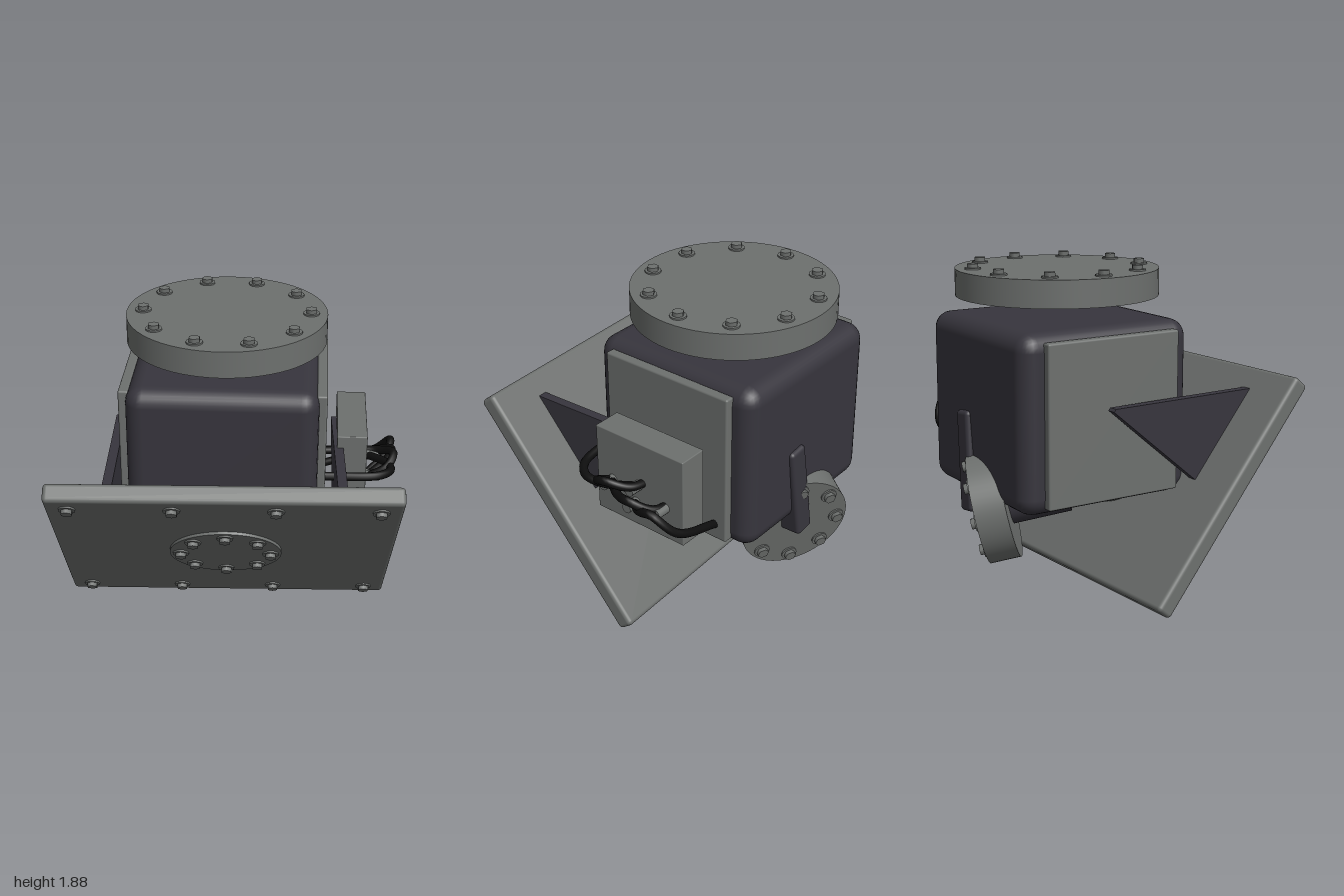
import * as THREE from 'three';
import { RoundedBoxGeometry } from 'three/addons/geometries/RoundedBoxGeometry.js';

const grey = new THREE.MeshStandardMaterial({ color: 0x6d706e });
grey.name = 'steel grey';
const dark = new THREE.MeshStandardMaterial({ color: 0x37353d });
dark.name = 'dark housing';
const black = new THREE.MeshStandardMaterial({ color: 0x0e0e0e });
black.name = 'cable black';

function add(parent, name, geometry, material, x = 0, y = 0, z = 0) {
  const mesh = new THREE.Mesh(geometry, material);
  mesh.name = name;
  mesh.position.set(x, y, z);
  parent.add(mesh);
  return mesh;
}

const box = (w, h, d, r) => new RoundedBoxGeometry(w, h, d, 3, r);

// Cylinder along z, spanning z0 to z1
function disc(r, z0, z1, sides = 64) {
  return new THREE.CylinderGeometry(r, r, z1 - z0, sides).rotateX(Math.PI / 2).translate(0, 0, (z0 + z1) / 2);
}

// Washer and hex head pointing along +z
const washerGeo = disc(0.047, -0.005, 0.009, 20);
const headGeo = disc(0.034, 0, 0.032, 6);
function bolt(parent, x, y, z) {
  const g = new THREE.Group();
  g.name = 'bolt';
  g.position.set(x, y, z);
  add(g, 'boltWasher', washerGeo, grey);
  add(g, 'boltHead', headGeo, grey);
  parent.add(g);
}

// Round flange with a ring of bolts on its +z face
function flange(name, r, z0, z1, count, ringRadius) {
  const g = new THREE.Group();
  g.name = name;
  add(g, name + 'Disc', disc(r, z0, z1), grey);
  for (let i = 0; i < count; i++) {
    const a = (i / count) * Math.PI * 2;
    bolt(g, Math.cos(a) * ringRadius, Math.sin(a) * ringRadius, z1);
  }
  return g;
}

export function createModel() {
  const model = new THREE.Group();
  model.name = 'jointModule';

  // Main housing with a cover plate on each side
  add(model, 'housing', box(1.095, 1.01, 1.095, 0.1), dark, -0.027, 1.08, -0.213);
  for (const s of [-1, 1]) {
    add(model, 'sidePlate', box(0.06, 0.92, 0.85, 0.012), grey, -0.027 + s * 0.563, 1.08, -0.205);
  }

  // Floating top flange
  const top = flange('topFlange', 0.583, 0, 0.155, 10, 0.487);
  top.rotation.x = -Math.PI / 2;
  top.position.set(-0.027, 1.705, -0.215);
  model.add(top);

  // Tilted front plate with everything fixed to it
  const front = new THREE.Group();
  front.name = 'frontAssembly';
  front.rotation.set(0.688, 0.042, 0, 'YXZ');
  front.position.set(0, 0.636, 0.32);
  model.add(front);
  add(front, 'frontPlate', box(1.95, 1.54, 0.11, 0.025), grey);
  for (const y of [-0.655, 0.655]) {
    for (const x of [-0.85, -0.283, 0.283, 0.85]) bolt(front, x, y, 0.055);
  }
  front.add(flange('frontFlange', 0.325, -0.09, 0.072, 8, 0.262));
  add(front, 'frontNeck', disc(0.2, -0.5, -0.08, 40), dark);

  // Triangular gussets behind the plate: shape axes are depth and height
  const tri = new THREE.Shape([[0.04, 0], [0.04, 0.64], [0.8, 0.02], [0.8, 0]].map(p => new THREE.Vector2(...p)));
  const gussetGeo = new THREE.ExtrudeGeometry(tri, { depth: 0.055, bevelEnabled: false })
    .translate(0, 0, -0.0275).rotateY(Math.PI / 2);
  for (const s of [-1, 1]) add(front, 'gusset', gussetGeo, dark, s * 0.65, 0, 0);

  // Angled rear flange on its neck
  const normal = new THREE.Vector3(0.5, -0.22, -0.83).normalize();
  const rear = flange('rearFlange', 0.325, -0.18, 0, 8, 0.262);
  rear.quaternion.setFromUnitVectors(new THREE.Vector3(0, 0, 1), normal);
  rear.position.set(0.02, 0.49, -0.72);
  add(rear, 'rearNeck', disc(0.13, -0.52, -0.17, 40), dark);
  model.add(rear);

  // Rear arm running from the housing down to the flange
  const from = new THREE.Vector3(0.1, 1.06, -0.715);
  const to = new THREE.Vector3(0.03, 0.48, -0.735);
  const arm = add(model, 'rearArm', box(0.13, from.distanceTo(to), 0.14, 0.025), dark);
  arm.position.copy(from).add(to).multiplyScalar(0.5);
  arm.quaternion.setFromUnitVectors(new THREE.Vector3(0, 1, 0), from.clone().sub(to).normalize());

  // Control box with cable sockets
  add(model, 'controlBox', box(0.175, 0.54, 0.62, 0.006), grey, 0.718, 0.96, -0.215);
  for (const [y, z] of [[0.89, -0.4], [0.84, -0.19], [0.96, -0.21], [0.92, -0.02]]) {
    add(model, 'cableSocket', new THREE.CylinderGeometry(0.03, 0.03, 0.09, 16).rotateZ(Math.PI / 2), grey, 0.845, y, z);
  }

  // Looping cables from the side plate to the sockets
  const cables = [
    [[0.55, 0.71, -0.55], [0.88, 0.83, -0.54], [0.97, 0.95, -0.44], [0.94, 0.91, -0.33], [0.82, 0.84, -0.19]],
    [[0.55, 0.89, -0.39], [0.88, 0.91, -0.38], [0.97, 0.97, -0.28], [0.94, 0.95, -0.18], [0.82, 0.92, -0.02]],
    [[0.55, 0.97, -0.23], [0.88, 0.99, -0.22], [0.97, 1.03, -0.11], [0.93, 0.98, -0.02], [0.82, 0.92, -0.01]],
    [[0.55, 1.01, 0.17], [0.87, 1.0, 0.13], [0.95, 0.99, 0.04], [0.93, 0.98, -0.08], [0.82, 0.96, -0.21]],
  ];
  for (const points of cables) {
    const curve = new THREE.CatmullRomCurve3(points.map(p => new THREE.Vector3(...p)));
    add(model, 'cable', new THREE.TubeGeometry(curve, 40, 0.025, 10), black);
  }

  return model;
}
